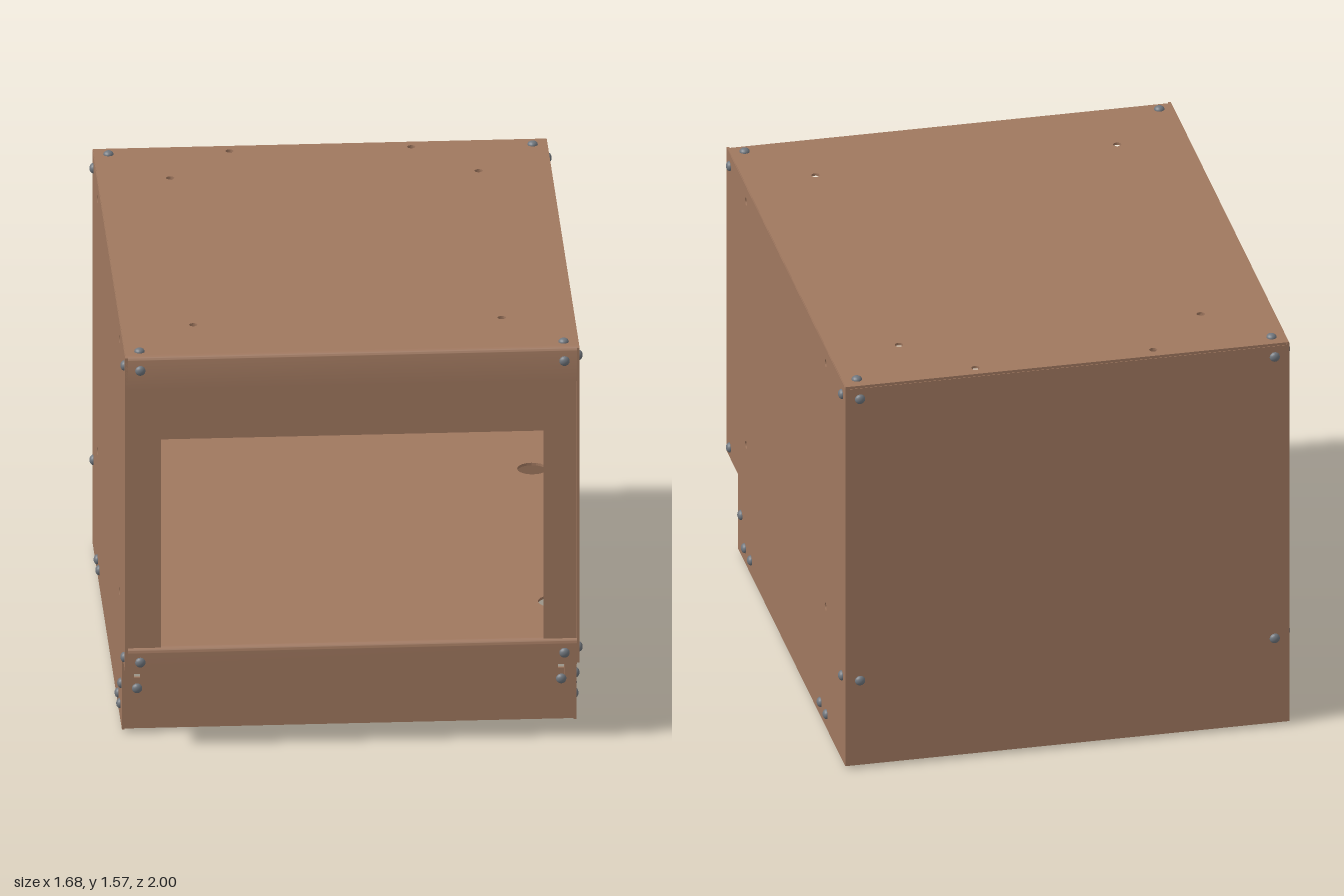
import * as THREE from 'three';
import { toCreasedNormals } from 'three/addons/utils/BufferGeometryUtils.js';

export function createModel() {
  const model = new THREE.Group();
  model.name = 'sheetMetalCabinet';
  const brown = new THREE.MeshStandardMaterial({ color: 0xa0785f });
  brown.name = 'brown painted steel';
  const steel = new THREE.MeshStandardMaterial({ color: 0x70767d });
  steel.name = 'grey steel';

  const T = 0.01, W = 0.825, D = 0.985, TOP = 1.553;

  function add(name, geometry, material, x = 0, y = 0, z = 0, parent = model) {
    const mesh = new THREE.Mesh(geometry, material);
    mesh.name = name;
    mesh.position.set(x, y, z);
    parent.add(mesh);
    return mesh;
  }
  // Box given by its limits
  function slab(name, x0, x1, y0, y1, z0, z1, parent = model) {
    return add(name, new THREE.BoxGeometry(x1 - x0, y1 - y0, z1 - z0), brown,
      (x0 + x1) / 2, (y0 + y1) / 2, (z0 + z1) / 2, parent);
  }
  function polygon(points) {
    return new THREE.Shape(points.map(([u, v]) => new THREE.Vector2(u, v)));
  }
  function drill(shape, holes, r) {
    for (const [u, v] of holes) {
      const path = new THREE.Path();
      path.absarc(u, v, r, 0, Math.PI * 2, true);
      shape.holes.push(path);
    }
    return shape;
  }
  const extrude = (shape, depth) =>
    new THREE.ExtrudeGeometry(shape, { depth, bevelEnabled: false, curveSegments: 10 });
  const rect = (u, v0, v1) => polygon([[-u, v0], [u, v0], [u, v1], [-u, v1]]);

  // Notched side panels with through holes, and their front flanges
  const sideShape = drill(polygon([
    [-D, 0.012], [0.79, 0.012], [0.79, 0.315], [D, 0.315], [D, TOP - 0.003], [-D, TOP - 0.003],
  ]), [[0.66, 1.49], [-0.66, 1.49], [0.66, 0.5], [-0.66, 0.5]], 0.015);
  const sideGeometry = extrude(sideShape, T).rotateY(-Math.PI / 2);
  for (const s of [1, -1]) {
    const side = s > 0 ? 'left' : 'right';
    add(side + 'Panel', sideGeometry, brown, s > 0 ? W : -W + T);
    const a = s * 0.695, b = s * (W - T);
    slab(side + 'FrontFlange', Math.min(a, b), Math.max(a, b), 0.33, 1.54, 0.965, 0.975);
  }

  // Back panel
  slab('backPanel', -W + T, W - T, 0.012, TOP - T, -D, -D + T);

  // Horizontal sheet whose front edge bends down into a lip
  const R = 0.02;
  function bentSheet(name, halfWidth, top, lipBottom, holes, r) {
    const sheet = extrude(drill(rect(halfWidth, -D + 0.002, D - R), holes, r), T).rotateX(Math.PI / 2);
    add(name, sheet, brown, 0, top, 0);
    const bend = new THREE.Shape();
    bend.moveTo(D - R, top);
    bend.absarc(D - R, top - R, R, Math.PI / 2, 0, true);
    bend.lineTo(D, lipBottom);
    bend.lineTo(D - T, lipBottom);
    bend.lineTo(D - T, top - R);
    bend.absarc(D - R, top - R, R - T, 0, Math.PI / 2, false);
    const lip = extrude(bend, halfWidth * 2).rotateY(-Math.PI / 2);
    add(name + 'FrontLip', toCreasedNormals(lip, 0.6), brown, halfWidth, 0, 0);
  }
  bentSheet('topPanel', W - 0.002, TOP, 1.42,
    [[0.33, -0.935], [-0.33, -0.935], [0.56, -0.695], [-0.56, -0.695], [0.56, 0.69], [-0.56, 0.69]], 0.015);
  bentSheet('shelf', W - T, 0.41, 0.31,
    [[0.75, 0.63], [-0.75, 0.63], [0.75, -0.62], [-0.75, -0.62]], 0.055);

  // Recessed kick plate with adjustment slots and inward flanges
  const kickShape = rect(W - T, 0.015, 0.315);
  for (const x of [-0.77, 0.77]) {
    const slot = new THREE.Path();
    slot.absarc(x, 0.26, 0.011, 0, Math.PI, false);
    slot.absarc(x, 0.17, 0.011, Math.PI, Math.PI * 2, false);
    slot.closePath();
    kickShape.holes.push(slot);
  }
  add('kickPlate', extrude(kickShape, T), brown, 0, 0, 0.778);
  slab('kickBottomFlange', -0.815, 0.815, 0.015, 0.025, 0.72, 0.78);
  slab('kickTopFlange', -0.815, 0.815, 0.305, 0.315, 0.72, 0.78);

  // Domed screws on each face
  const screwGeometry = new THREE.SphereGeometry(0.019, 16, 6, 0, Math.PI * 2, 0, Math.PI / 2);
  screwGeometry.scale(1, 0.75, 1);
  const up = new THREE.Vector3(0, 1, 0);
  function screw(name, x, y, z, nx, ny, nz) {
    add(name, screwGeometry, steel, x, y, z)
      .quaternion.setFromUnitVectors(up, new THREE.Vector3(nx, ny, nz));
  }
  const sideScrews = [[0.93, 1.5], [-0.93, 1.5], [0.93, 0.355], [-0.93, 0.355], [0.74, 0.175],
    [0.68, 0.07], [0.58, 0.07], [-0.575, 0.07], [-0.675, 0.07]];
  for (const s of [1, -1]) {
    for (const [z, y] of sideScrews) screw('sideScrew', s * W, y, z, s, 0, 0);
    for (const y of [1.5, 0.355]) {
      screw('frontScrew', s * 0.77, y, D, 0, 0, 1);
      screw('backScrew', s * 0.77, y, -D, 0, 0, -1);
    }
    screw('kickScrew', s * 0.77, 0.172, 0.788, 0, 0, 1);
    for (const z of [0.93, -0.93]) screw('topScrew', s * 0.77, TOP, z, 0, 1, 0);
  }

  // Levelling feet on angle brackets
  const footProfile = [[0, 0], [0.058, 0], [0.065, 0.004], [0.065, 0.018], [0.058, 0.022],
    [0.024, 0.03], [0.016, 0.035], [0.016, 0.13], [0, 0.13]]
    .map(([r, y]) => new THREE.Vector2(r, y));
  const footGeometry = toCreasedNormals(new THREE.LatheGeometry(footProfile, 24), 0.5);
  const nutGeometry = new THREE.CylinderGeometry(0.03, 0.03, 0.02, 6).toNonIndexed();
  nutGeometry.computeVertexNormals();
  const nut = toCreasedNormals(nutGeometry, 0.3);
  for (const s of [1, -1]) {
    for (const z of [0.63, -0.62]) {
      const foot = new THREE.Group();
      foot.name = 'levellingFoot';
      foot.position.set(s * 0.753, 0, z);
      foot.rotation.y = s > 0 ? 0 : Math.PI;
      model.add(foot);
      add('footPad', footGeometry, steel, 0, 0, 0, foot);
      add('footNut', nut, steel, 0, 0.066, 0, foot);
      slab('bracketPlate', -0.055, 0.062, 0.046, 0.056, -0.08, 0.08, foot);
      slab('bracketWall', 0.052, 0.062, 0.05, 0.11, -0.08, 0.08, foot);
    }
    // Angle holding the kick plate to the side
    const a = s * 0.73, b = s * 0.815;
    const x0 = Math.min(a, b), x1 = Math.max(a, b);
    slab('kickBracketFront', x0, x1, 0.14, 0.21, 0.768, 0.778);
    slab('kickBracketSide', s > 0 ? 0.805 : -0.815, s > 0 ? 0.815 : -0.805, 0.14, 0.21, 0.7, 0.77);
  }
  return model;
}
